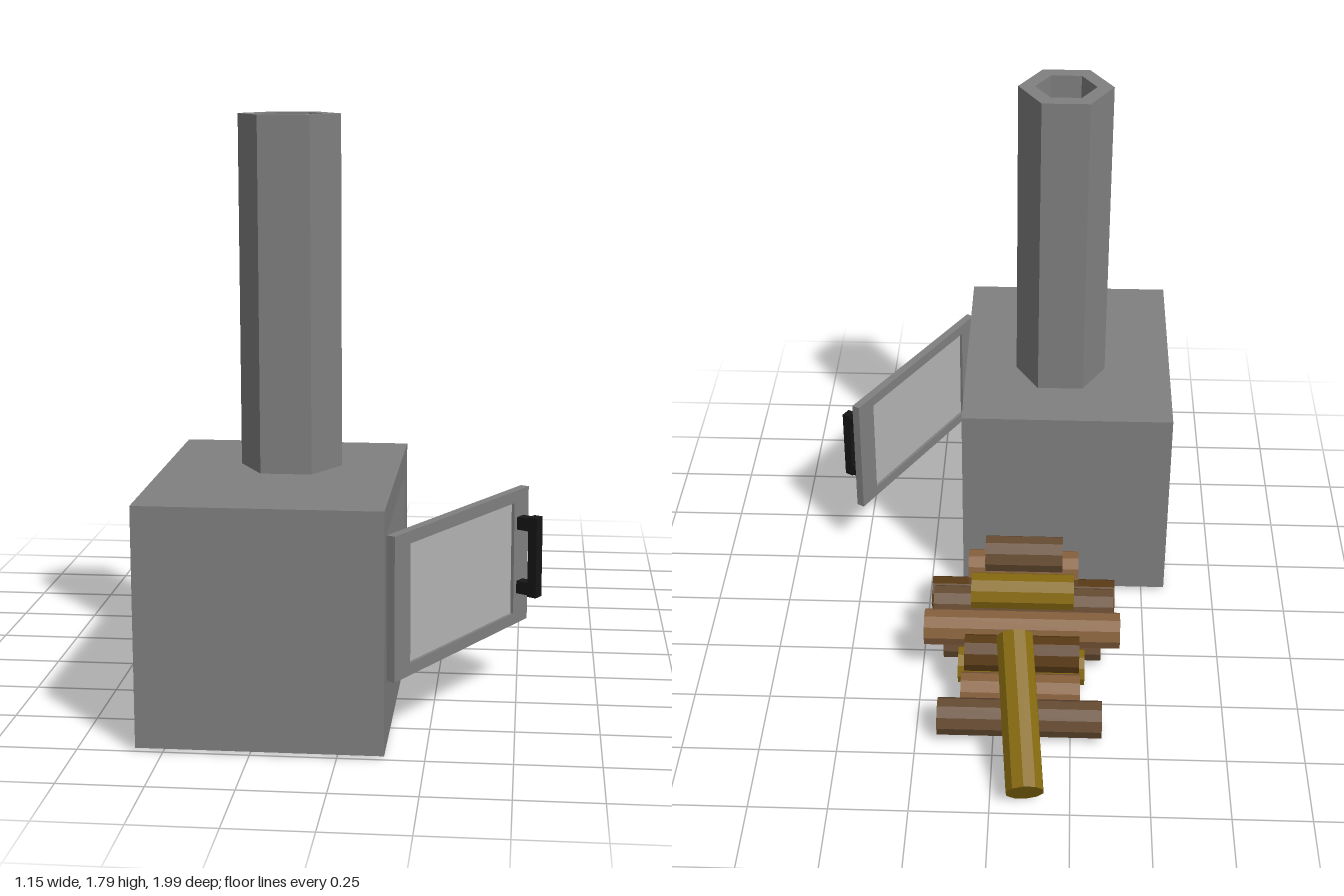
import * as THREE from 'three';

const paint = (color) => new THREE.MeshStandardMaterial({ color, flatShading: true, side: THREE.DoubleSide });

function add(parent, name, geometry, material, x = 0, y = 0, z = 0) {
  const mesh = new THREE.Mesh(geometry, material);
  mesh.name = name;
  mesh.position.set(x, y, z);
  parent.add(mesh);
  return mesh;
}

const rect = (x0, y0, x1, y1) =>
  [[x0, y0], [x1, y0], [x1, y1], [x0, y1]].map(([x, y]) => new THREE.Vector2(x, y));

function hexagon(cx, cy, r) {
  return Array.from({ length: 6 }, (_, i) => {
    const a = (i * Math.PI) / 3;
    return new THREE.Vector2(cx + r * Math.cos(a), cy + r * Math.sin(a));
  });
}

// Flat panel with one opening, extruded along its local z
function panel(outline, opening, depth) {
  const shape = new THREE.Shape(outline);
  shape.holes.push(new THREE.Path(opening));
  return new THREE.ExtrudeGeometry(shape, { depth, bevelEnabled: false });
}

// Ten-sided log between two end points
function addLog(parent, name, from, to, material, radius = 0.061) {
  const a = new THREE.Vector3(...from);
  const b = new THREE.Vector3(...to);
  const dir = b.clone().sub(a);
  const mid = a.clone().add(b).multiplyScalar(0.5);
  const mesh = add(parent, name, new THREE.CylinderGeometry(radius, radius, dir.length(), 10), material, mid.x, mid.y, mid.z);
  mesh.quaternion.setFromUnitVectors(new THREE.Vector3(0, 1, 0), dir.normalize());
}

export function createModel() {
  const model = new THREE.Group();
  model.name = 'woodStove';
  const iron = paint(0x808080);
  const glass = paint(0xb4b4b4);
  const black = paint(0x161616);
  const wood = {
    dark: paint(0x593a14),
    light: paint(0x86603c),
    mid: paint(0x664b32),
    olive: paint(0x86690f),
  };

  // Hollow stove body
  const body = new THREE.Group();
  body.name = 'stoveBody';
  model.add(body);
  const X0 = -0.58, X1 = 0.135, Y0 = 0.01, Y1 = 0.722, Z0 = 0.105, Z1 = 1.0, T = 0.04;
  const wall = (name, x0, x1, y0, y1, z0, z1) =>
    add(body, name, new THREE.BoxGeometry(x1 - x0, y1 - y0, z1 - z0), iron,
      (x0 + x1) / 2, (y0 + y1) / 2, (z0 + z1) / 2);
  wall('floor', X0, X1 - T, Y0, Y0 + T, Z0, Z1);
  wall('farWall', X0, X0 + T, Y0 + T, Y1 - T, Z0, Z1);
  wall('backWall', X0 + T, X1 - T, Y0 + T, Y1 - T, Z0, Z0 + T);
  wall('frontWall', X0 + T, X1 - T, Y0 + T, Y1 - T, Z1 - T, Z1);

  // Wall with the door opening
  const doorWall = add(body, 'doorWall',
    panel(rect(-Z1, Y0, -Z0, Y1 - T), rect(-0.905, 0.195, -0.215, 0.64), T), iron, X1 - T, 0, 0);
  doorWall.rotation.y = Math.PI / 2;

  // Roof with the flue hole, and the six-sided chimney
  const cx = -0.197, cz = 0.438;
  const roof = add(body, 'roof',
    panel(rect(X0, -Z1, X1, -Z0), hexagon(cx, -cz, 0.1), T), iron, 0, Y1 - T, 0);
  roof.rotation.x = -Math.PI / 2;
  const chimney = add(model, 'chimney',
    panel(hexagon(0, 0, 0.155), hexagon(0, 0, 0.1), 1.79 - Y1), iron, cx, Y1, cz);
  chimney.rotation.x = -Math.PI / 2;

  // Open door: local x runs away from the hinge, local z points outward
  const door = new THREE.Group();
  door.name = 'door';
  door.position.set(0.147, 0, 0.932);
  door.rotation.y = Math.PI / 3;
  model.add(door);
  add(door, 'doorFrame', panel(rect(0, 0.207, 0.74, 0.635), rect(0.08, 0.243, 0.655, 0.598), 0.028), iron, 0, 0, -0.014);
  add(door, 'doorGlass', new THREE.BoxGeometry(0.575, 0.355, 0.008), glass, 0.3675, 0.4205, 0);
  add(door, 'handleBar', new THREE.BoxGeometry(0.036, 0.255, 0.03), black, 0.69, 0.4275, 0.069);
  for (const y of [0.325, 0.53]) {
    add(door, 'handlePost', new THREE.BoxGeometry(0.036, 0.04, 0.045), black, 0.69, y, 0.034);
  }

  // Stacked logs: colour, z, row, left end, right end
  const pile = new THREE.Group();
  pile.name = 'logPile';
  model.add(pile);
  const stack = [
    ['dark', -0.028, 0, -0.4, 0.235],
    ['light', -0.15, 0, -0.35, 0.18],
    ['mid', -0.274, 0, -0.35, 0.18],
    ['olive', -0.398, 0, -0.295, 0.125],
    ['light', -0.524, 0, -0.28, 0.11],
    ['mid', -0.648, 0, -0.35, 0.18],
    ['olive', -0.09, 1, -0.255, 0.085],
    ['mid', -0.212, 1, -0.39, 0.215],
    ['light', -0.336, 1, -0.41, 0.24],
    ['dark', -0.462, 1, -0.275, 0.1],
    ['light', -0.148, 2, -0.27, 0.1],
    ['olive', -0.274, 2, -0.255, 0.085],
    ['mid', -0.212, 3, -0.215, 0.04],
  ];
  for (const [tone, z, row, x0, x1] of stack) {
    const y = 0.07 + row * 0.109;
    addLog(pile, 'stackedLog', [x0, y, z], [x1, y, z], wood[tone]);
  }
  addLog(pile, 'leaningLog', [-0.11, 0.058, -0.967], [-0.065, 0.292, -0.508], wood.olive);

  // Firewood inside the stove
  const fire = new THREE.Group();
  fire.name = 'firewood';
  model.add(fire);
  addLog(fire, 'fireLog', [-0.37, 0.1, 0.8], [-0.1, 0.06, 0.36], wood.mid);
  addLog(fire, 'fireLog', [-0.4, 0.1, 0.64], [-0.34, 0.06, 0.3], wood.light);
  addLog(fire, 'fireLog', [-0.33, 0.17, 0.66], [-0.06, 0.17, 0.27], wood.light);
  return model;
}
